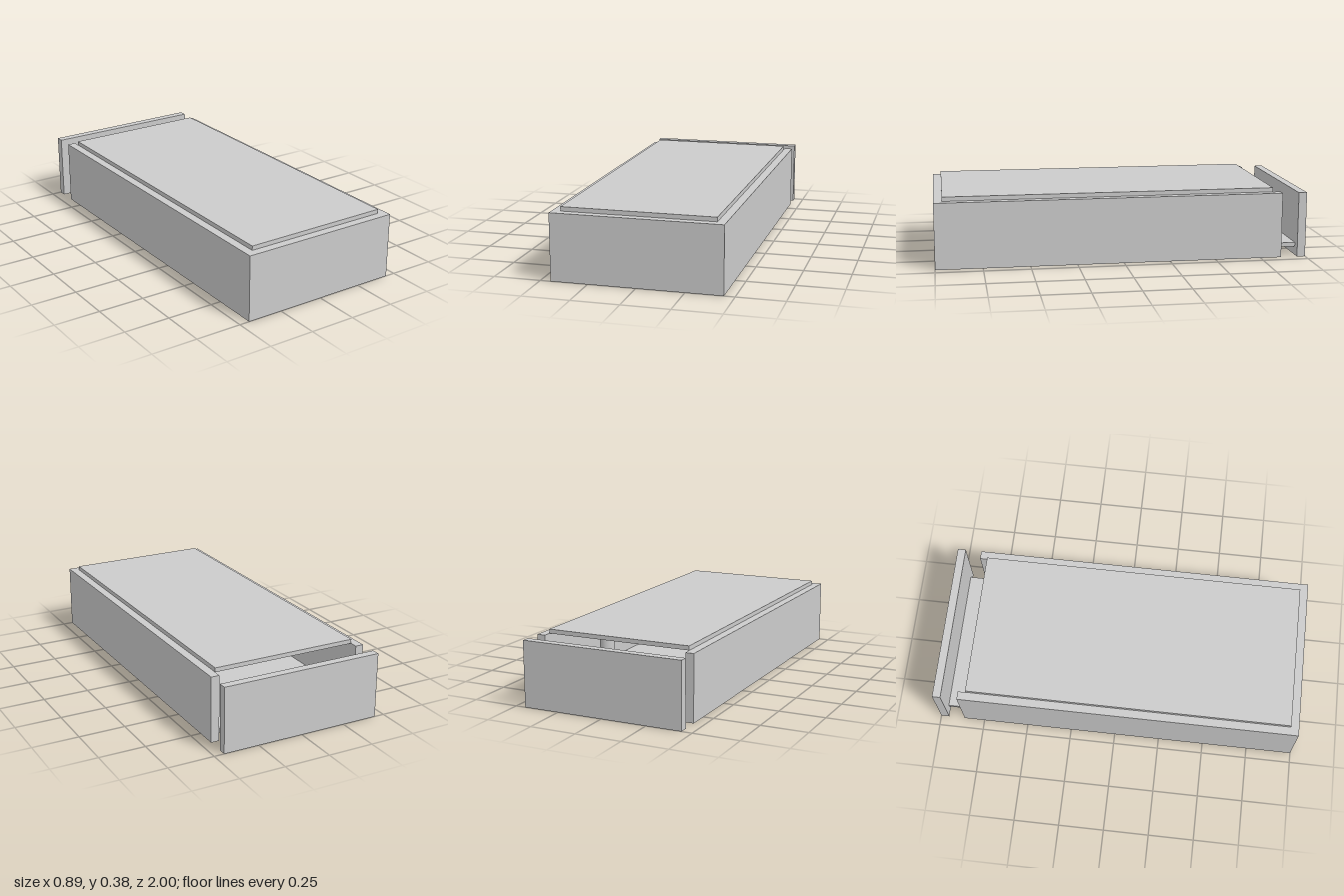
import * as THREE from 'three';

export function createModel() {
  const model = new THREE.Group();
  const material = new THREE.MeshStandardMaterial({ color: 0xcccccc, flatShading: true });
  const smooth = new THREE.MeshStandardMaterial({ color: 0xcccccc });

  // Box given by its limits along each axis
  function panel(name, [x0, x1], [y0, y1], [z0, z1]) {
    const mesh = new THREE.Mesh(new THREE.BoxGeometry(x1 - x0, y1 - y0, z1 - z0), material);
    mesh.position.set((x0 + x1) / 2, (y0 + y1) / 2, (z0 + z1) / 2);
    mesh.name = name;
    model.add(mesh);
  }

  // Upright cylinder standing between two heights
  function post(name, radius, x, z, y0, y1) {
    const mesh = new THREE.Mesh(new THREE.CylinderGeometry(radius, radius, y1 - y0, 32), smooth);
    mesh.position.set(x, (y0 + y1) / 2, z);
    mesh.name = name;
    model.add(mesh);
  }

  const W = 0.445, I = 0.4, H = 0.355, FLOOR = 0.069;

  // Outer walls, with the back wall pulled away from the sides
  panel('leftWall', [I, W], [0, H], [-0.865, 0.955]);
  panel('rightWall', [-W, -I], [0, H], [-0.865, 0.955]);
  panel('frontWall', [-W, W], [0, H], [0.955, 1]);
  panel('backWall', [-W, W], [0, H], [-1, -0.955]);

  // Sliding floor that reaches the back wall, the cover beneath it and the lid
  panel('floor', [-I, I], [0.047, FLOOR], [-0.955, 0.955]);
  panel('bottomCover', [-I, I], [0.022, 0.045], [-0.822, 0.955]);
  panel('lid', [-I, I], [H, 0.378], [-0.822, 0.955]);

  // Fittings inside the box
  post('supportPost', 0.04, 0.27, -0.45, FLOOR, H);
  post('floorDisc', 0.04, 0.16, -0.32, FLOOR, 0.082);
  for (const [y, z] of [[0.27, -0.78], [0.21, -0.61], [0.16, -0.51]]) {
    panel('wallBracket', [0.37, I], [y - 0.01, y + 0.01], [z - 0.03, z + 0.03]);
  }

  return model;
}
